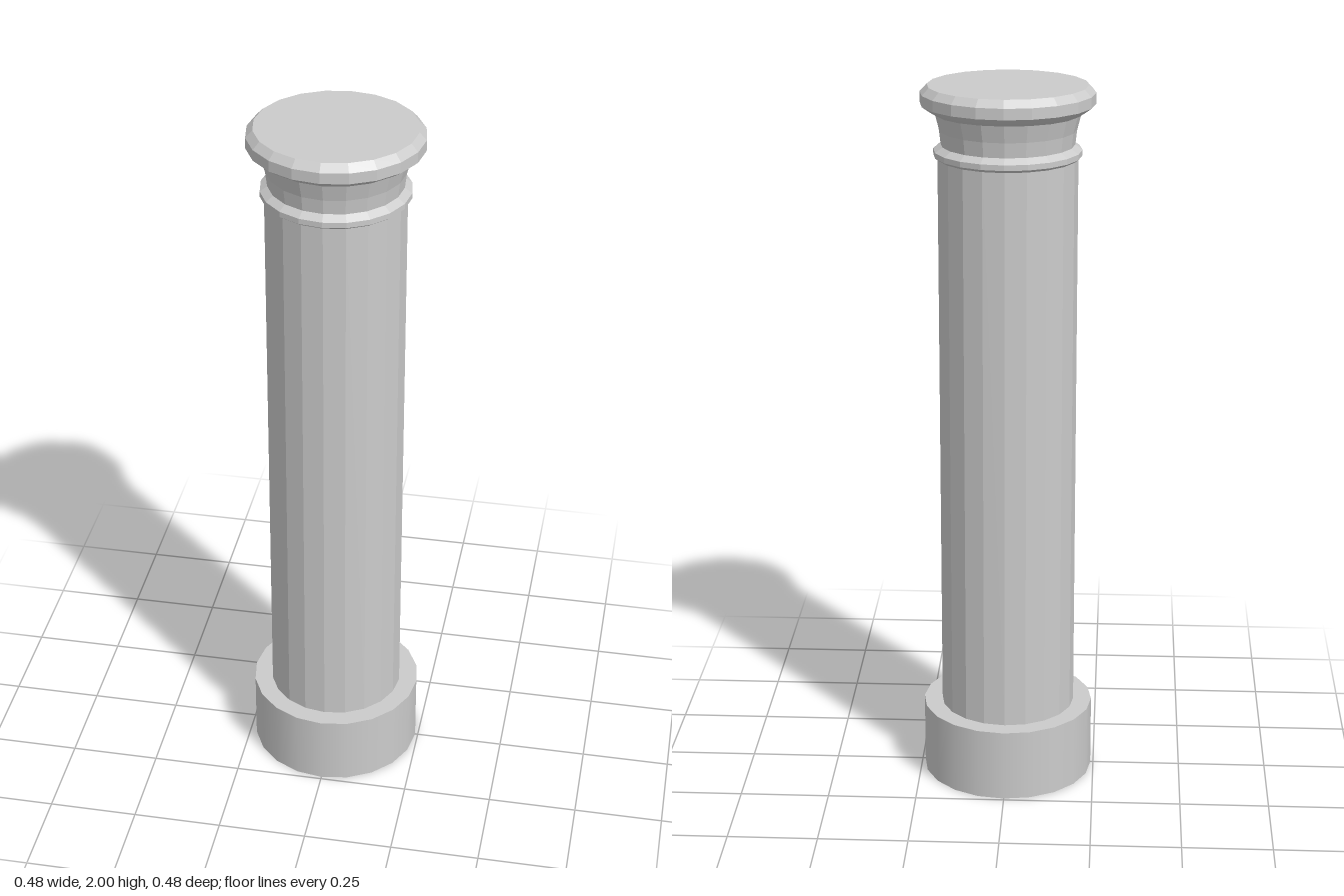
import * as THREE from 'three';

const SIDES = 20;

// Turned part with faceted sides from [radius, height] pairs, bottom to top
function turned(name, profile, material) {
  const points = profile.map(([r, y]) => new THREE.Vector2(r, y));
  const mesh = new THREE.Mesh(new THREE.LatheGeometry(points, SIDES), material);
  mesh.name = name;
  return mesh;
}

export function createModel() {
  const group = new THREE.Group();
  group.name = 'column';
  const smooth = new THREE.MeshStandardMaterial({ color: 0xcccccc });
  const faceted = new THREE.MeshStandardMaterial({ color: 0xcccccc, flatShading: true });

  // Round plinth
  const base = new THREE.Mesh(new THREE.CylinderGeometry(0.242, 0.242, 0.205, SIDES), smooth);
  base.name = 'base';
  base.position.y = 0.1025;
  group.add(base);

  // Straight shaft
  group.add(turned('shaft', [[0.19, 0.2], [0.19, 1.81]], faceted));

  // Bevelled collar between shaft and capital
  group.add(turned('collar', [
    [0.187, 1.8], [0.201, 1.81], [0.201, 1.825], [0.18, 1.84],
  ], faceted));

  // Flared neck
  group.add(turned('neck', [[0.18, 1.83], [0.186, 1.88], [0.199, 1.93]], faceted));

  // Capital with chamfered rims and flat top
  const capital = turned('capital', [
    [0.199, 1.925], [0.215, 1.935], [0.236, 1.95], [0.236, 1.98], [0.217, 2], [0, 2],
  ], faceted);
  capital.scale.z = 0.98;
  group.add(capital);

  return group;
}
